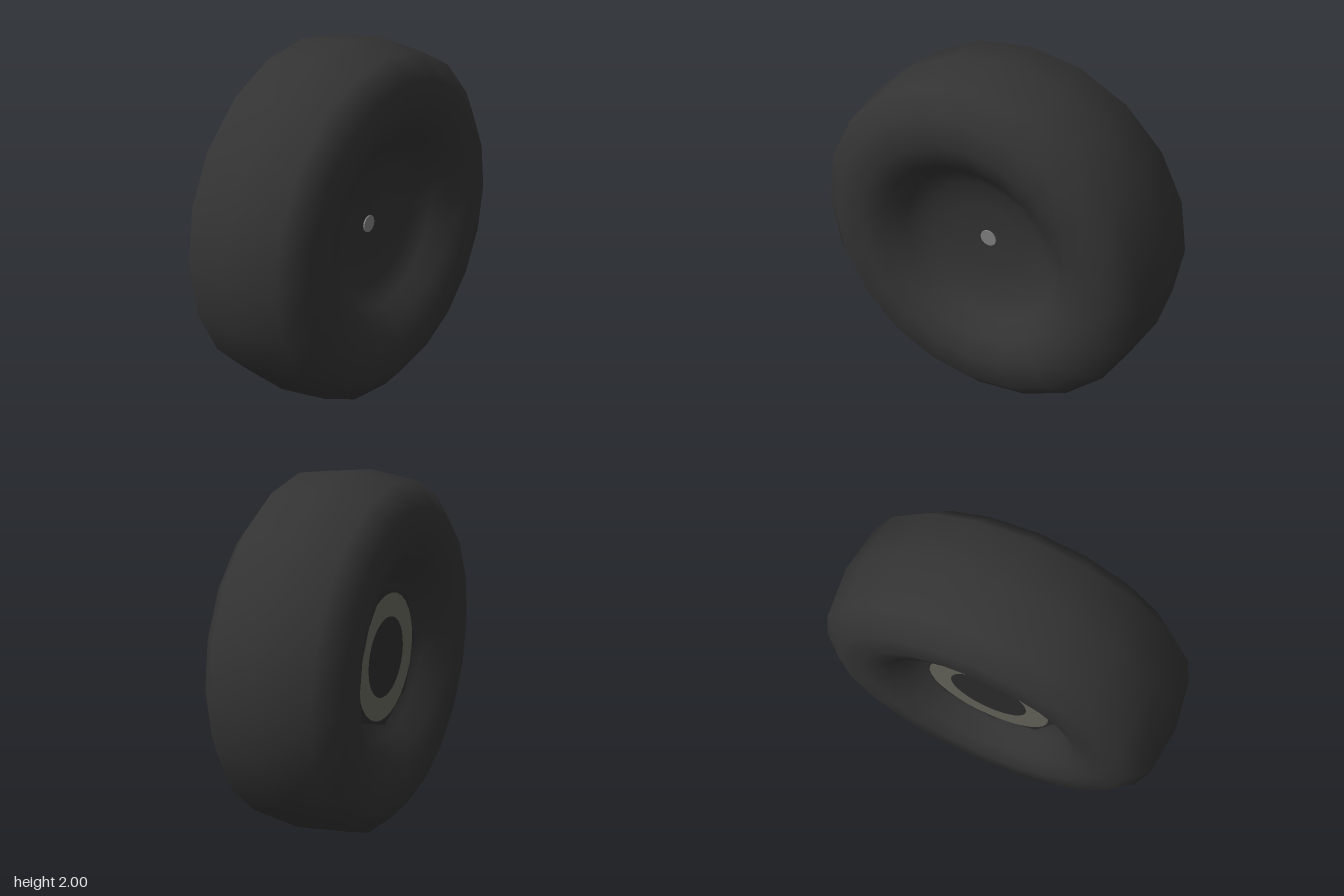
import * as THREE from 'three';

const SIDES = 20;

function material(name, color) {
  const m = new THREE.MeshStandardMaterial({ color });
  m.name = name;
  return m;
}

export function createModel() {
  const wheel = new THREE.Group();
  wheel.name = 'wheel';

  const rubber = material('tyreBlack', 0x333333);
  const hubDark = material('hubBlack', 0x2d2d2d);
  const ringGrey = material('ringGrey', 0x66665c);
  const steel = material('axleGrey', 0x808080);

  const add = (name, geometry, mat) => {
    const mesh = new THREE.Mesh(geometry, mat);
    mesh.name = name;
    mesh.position.y = 1;
    wheel.add(mesh);
    return mesh;
  };

  // Half profile as [radius, x], from the dished centre out to the tread
  const half = [
    [0, 0.15], [0.2, 0.158], [0.36, 0.185], [0.47, 0.25], [0.55, 0.345],
    [0.68, 0.388], [0.84, 0.385], [0.965, 0.28],
  ];
  const profile = [
    ...half.map(([r, x]) => new THREE.Vector2(r, -x)),
    new THREE.Vector2(1, 0),
    ...half.slice().reverse().map(([r, x]) => new THREE.Vector2(r, x)),
  ];
  add('tyre', new THREE.LatheGeometry(profile, SIDES).rotateZ(-Math.PI / 2), rubber);

  // Prism lying along x between two ends
  const prism = (radius, x0, x1, sides) =>
    new THREE.CylinderGeometry(radius, radius, x1 - x0, sides)
      .rotateZ(-Math.PI / 2)
      .translate((x0 + x1) / 2, 0, 0);

  // Octagonal hub on the inner side, with a pale ring on its face
  add('hub', prism(0.4, -0.235, -0.1, 8), hubDark);
  add('hubRing',
    new THREE.RingGeometry(0.225, 0.355, 32).rotateY(-Math.PI / 2).translate(-0.24, 0, 0),
    ringGrey);

  // Axle end showing in the outer dish
  add('axle', prism(0.048, -0.2, 0.16, 12), steel);

  return wheel;
}
